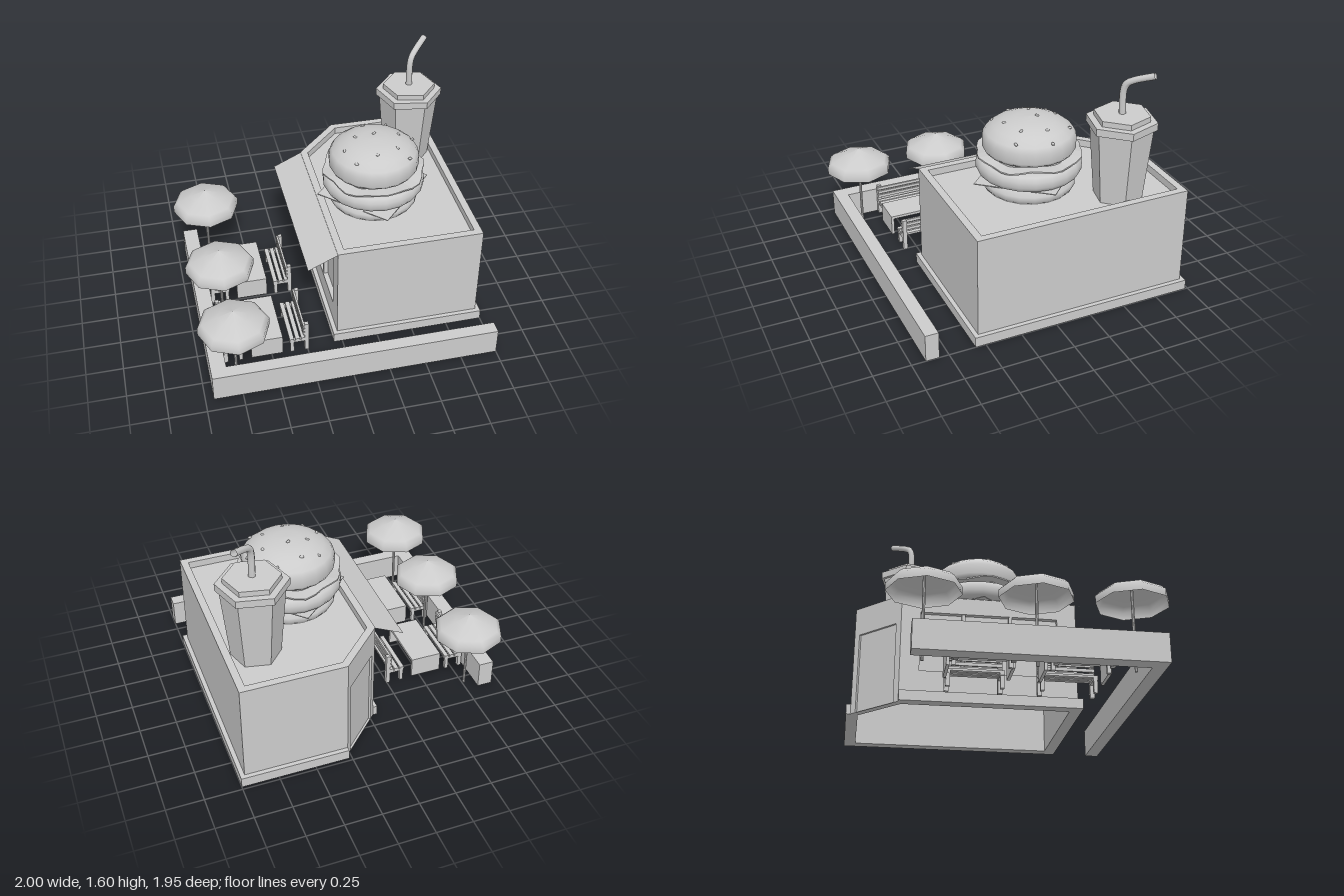
import * as THREE from 'three';

const grey = new THREE.MeshStandardMaterial({ color: 0xcccccc });
const flat = new THREE.MeshStandardMaterial({ color: 0xcccccc, flatShading: true });
const thin = new THREE.MeshStandardMaterial({ color: 0xcccccc, side: THREE.DoubleSide });

function add(parent, name, geometry, material = flat) {
  const mesh = new THREE.Mesh(geometry, material);
  mesh.name = name;
  parent.add(mesh);
  return mesh;
}

function group(parent, name, x = 0, y = 0, z = 0) {
  const g = new THREE.Group();
  g.name = name;
  g.position.set(x, y, z);
  parent.add(g);
  return g;
}

// Box given by its limits on each axis
function box(parent, name, x0, x1, y0, y1, z0, z1) {
  const m = add(parent, name, new THREE.BoxGeometry(x1 - x0, y1 - y0, z1 - z0));
  m.position.set((x0 + x1) / 2, (y0 + y1) / 2, (z0 + z1) / 2);
  return m;
}

const lathe = (points, sides) =>
  new THREE.LatheGeometry(points.map(([r, y]) => new THREE.Vector2(r, y)), sides);

// Upright wall from p to q, thickened inward, with an optional rectangular opening
function wall(parent, name, p, q, height, opening) {
  const dx = q[0] - p[0], dz = q[1] - p[1], len = Math.hypot(dx, dz);
  const g = group(parent, name, p[0], 0, p[1]);
  g.rotation.y = Math.atan2(-dz, dx);
  const rect = (Type, a, b, c, d) => new Type([[a, c], [b, c], [b, d], [a, d]].map(v => new THREE.Vector2(...v)));
  const shape = rect(THREE.Shape, 0, len, 0, height);
  if (opening) shape.holes.push(rect(THREE.Path, ...opening));
  add(g, name + 'Panel', new THREE.ExtrudeGeometry(shape, { depth: 0.05, bevelEnabled: false }));
  return g;
}

function buildRestaurant(root) {
  const g = group(root, 'building');
  const c = [[0.97, 0.54], [-0.03, 0.54], [-0.03, -0.65], [0.27, -0.95], [0.97, -0.95]];
  const H = 0.76;
  wall(g, 'frontWall', c[0], c[1], H);
  wall(g, 'backWall', c[3], c[4], H);
  wall(g, 'sideWall', c[4], c[0], H);

  // Window wall: three panes between posts
  const w = wall(g, 'windowWall', c[1], c[2], H, [0.13, 1.06, 0.22, 0.64]);
  box(w, 'windowGlass', 0.13, 1.06, 0.22, 0.64, 0.035, 0.045);
  for (const x of [0.45, 0.77]) box(w, 'windowPost', x - 0.012, x + 0.012, 0.22, 0.64, 0.005, 0.05);

  // Corner wall with a slightly recessed door
  const d = wall(g, 'doorWall', c[2], c[3], H, [0.045, 0.38, 0.001, 0.56]);
  box(d, 'door', 0.045, 0.38, 0, 0.56, 0.015, 0.04);

  // Roof deck sunk behind the parapet
  const roofOutline = [[0.94, 0.51], [-0.01, 0.51], [-0.01, -0.64], [0.28, -0.92], [0.94, -0.92]];
  const roof = add(g, 'roof', new THREE.ExtrudeGeometry(
    new THREE.Shape(roofOutline.map(v => new THREE.Vector2(...v))), { depth: 0.02, bevelEnabled: false }));
  roof.rotation.x = Math.PI / 2;
  roof.position.y = 0.71;

  // Plinth strips, leaving the doorway free
  box(g, 'plinthFront', -0.06, 1, 0, 0.07, 0.53, 0.57);
  box(g, 'plinthBack', 0.27, 1, 0, 0.07, -0.98, -0.94);
  box(g, 'plinthSide', 0.96, 1, 0, 0.07, -0.98, 0.57);
  box(g, 'plinthWindow', -0.06, -0.02, 0, 0.07, -0.65, 0.57);

  // Sloping awning sheet
  const awning = add(g, 'awning', new THREE.PlaneGeometry(0.222, 1.19), thin);
  awning.rotation.set(-Math.PI / 2, Math.atan2(-0.095, 0.2), 0);
  awning.position.set(-0.13, 0.708, -0.055);
}

function buildBurger(root) {
  const g = group(root, 'burger', 0.37, 0, -0.09);
  add(g, 'bottomBun', lathe([[0, 0.71], [0.29, 0.71], [0.31, 0.74], [0.31, 0.77], [0.29, 0.8], [0, 0.8]], 20), grey);
  const cheese = add(g, 'cheese', new THREE.BoxGeometry(0.56, 0.006, 0.56));
  cheese.position.y = 0.806;
  cheese.rotation.set(0.04, 0, 0.045);
  cheese.geometry.rotateY(Math.PI / 4);
  add(g, 'patty', lathe([[0, 0.815], [0.3, 0.815], [0.335, 0.83], [0.352, 0.86], [0.352, 0.9], [0.335, 0.93], [0.3, 0.945], [0, 0.945]], 20), grey);
  add(g, 'tomato', new THREE.CylinderGeometry(0.27, 0.27, 0.05, 20)).position.y = 0.965;

  // Lettuce: a disc with a wavy rim
  const leaf = new THREE.CylinderGeometry(0.35, 0.35, 0.01, 32, 1);
  const p = leaf.attributes.position;
  for (let i = 0; i < p.count; i++) {
    const x = p.getX(i), z = p.getZ(i), a = Math.atan2(z, x);
    if (Math.hypot(x, z) < 0.1) continue;
    const s = 1 + 0.035 * Math.cos(8 * a);
    p.setXYZ(i, x * s, p.getY(i) + 0.012 * Math.sin(5 * a), z * s);
  }
  add(g, 'lettuce', leaf).position.y = 0.963;

  add(g, 'topBun', lathe([[0, 0.985], [0.295, 0.985], [0.31, 1.01], [0.31, 1.08], [0.29, 1.115],
    [0.24, 1.155], [0.17, 1.185], [0.09, 1.2], [0, 1.205]], 20), grey);

  // Sesame seeds laid on the dome
  const seeds = [[-0.15, -0.19], [-0.03, -0.2], [0.14, -0.22], [-0.12, -0.05], [0.01, -0.05], [0.18, -0.04],
    [0.28, -0.03], [-0.22, 0.05], [-0.17, 0.19], [-0.02, 0.17], [0.13, 0.12], [0.2, 0.19]];
  seeds.forEach(([x, z], i) => {
    const r = Math.hypot(x, z);
    const seed = add(g, 'seed', new THREE.SphereGeometry(0.012, 6, 4), grey);
    seed.scale.set(0.9, 0.8, 1.4);
    seed.rotation.y = i * 1.3;
    seed.position.set(x, 1.207 - 0.08 * (r / 0.24) ** 2 * (r < 0.24 ? 0.65 : 0.72), z);
  });
}

function buildCup(root) {
  const g = group(root, 'drinkCup', 0.745, 0, -0.555);
  const hex = (name, top, bottom, y0, y1) => {
    const m = add(g, name, new THREE.CylinderGeometry(top, bottom, y1 - y0, 6));
    m.position.y = (y0 + y1) / 2;
    m.rotation.y = Math.PI / 10;
  };
  hex('cup', 0.209, 0.163, 0.71, 1.215);
  hex('lidRim', 0.232, 0.232, 1.213, 1.263);
  hex('lidTop', 0.183, 0.183, 1.263, 1.3);
  const path = new THREE.CatmullRomCurve3([[0, 1.28, 0], [0, 1.46, 0], [0.012, 1.505, -0.012],
    [0.045, 1.535, -0.045], [0.138, 1.583, -0.138]].map(v => new THREE.Vector3(...v)));
  add(g, 'straw', new THREE.TubeGeometry(path, 20, 0.023, 8), thin);
}

// Bench with its back towards +x; side = -1 mirrors it across the table
function buildBench(parent, side) {
  const g = group(parent, 'bench');
  const b = (name, x0, x1, y0, y1, z0, z1) =>
    box(g, name, Math.min(side * x0, side * x1), Math.max(side * x0, side * x1), y0, y1, z0, z1);
  for (const x of [0.16, 0.2, 0.24]) b('seatSlat', x, x + 0.03, 0.1, 0.115, -0.187, 0.187);
  for (const z of [-0.172, 0.172]) {
    b('seatRail', 0.16, 0.27, 0.085, 0.1, z - 0.015, z + 0.015);
    b('frontLeg', 0.165, 0.19, 0, 0.1, z - 0.013, z + 0.013);
    b('backPost', 0.265, 0.293, 0, 0.235, z - 0.015, z + 0.015);
  }
  for (const y of [0.14, 0.172, 0.204]) b('backSlat', 0.253, 0.267, y, y + 0.022, -0.187, 0.187);
}

function buildTerrace(root) {
  const g = group(root, 'terrace');
  box(g, 'frontFence', -0.945, 1, 0, 0.19, 0.815, 0.905);
  box(g, 'sideFence', -0.945, -0.84, 0, 0.19, -0.63, 0.9);

  // Tables with solid ends, each between two benches
  for (const z of [-0.19, 0.41]) {
    const set = group(g, 'diningSet', -0.535, 0, z);
    box(set, 'tableTop', -0.108, 0.108, 0.155, 0.175, -0.21, 0.21);
    for (const s of [-1, 1]) {
      box(set, 'tableEnd', -0.108, 0.108, 0.03, 0.157, s * 0.2 - 0.01, s * 0.2 + 0.01);
      buildBench(set, s);
    }
  }

  // Eight-sided parasols
  const canopy = lathe([[0.235, 0.44], [0.235, 0.49], [0.205, 0.518], [0.1, 0.565], [0, 0.6]], 8);
  for (const z of [-0.555, 0.135, 0.738]) {
    const u = group(g, 'parasol', -0.765, 0, z);
    add(u, 'canopy', canopy, thin);
    add(u, 'pole', new THREE.CylinderGeometry(0.01, 0.01, 0.59, 8)).position.y = 0.295;
  }
}

export function createModel() {
  const root = new THREE.Group();
  root.name = 'burgerRestaurant';
  buildRestaurant(root);
  buildBurger(root);
  buildCup(root);
  buildTerrace(root);
  return root;
}
